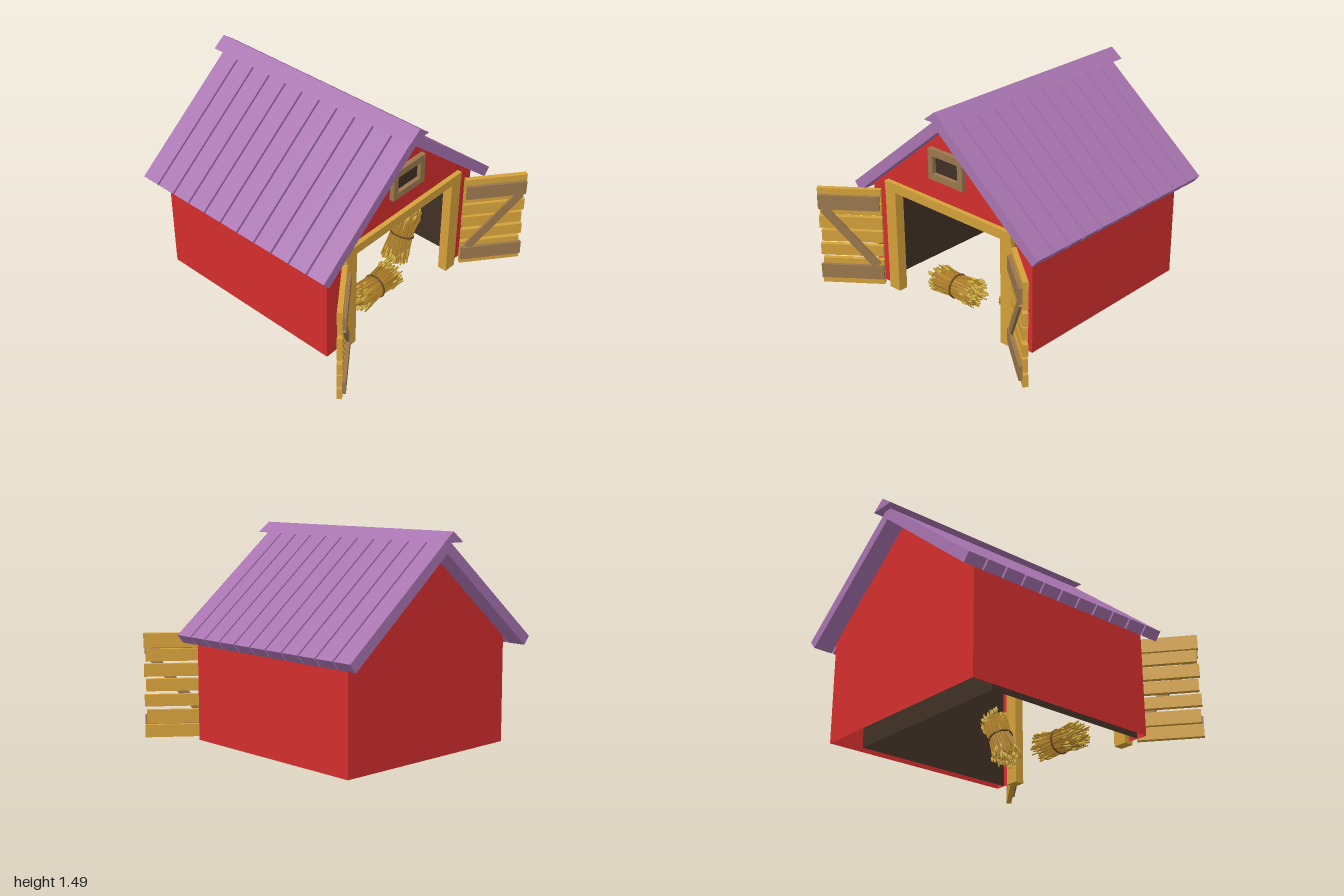
import * as THREE from 'three';
import { mergeGeometries } from 'three/addons/utils/BufferGeometryUtils.js';

const mat = (name, color, side = THREE.FrontSide) => {
  const m = new THREE.MeshStandardMaterial({ color, side });
  m.name = name;
  return m;
};

export function createModel() {
  const red = mat('barn red', 0xd42e2e, THREE.DoubleSide);
  const dark = mat('dark interior', 0x3f3025, THREE.DoubleSide);
  const purple = mat('purple roof', 0xa874b0);
  const gold = mat('golden wood', 0xd4a03a);
  const brown = mat('brown wood', 0x9a774c);
  const straw = mat('straw', 0xb5842a);
  const grain = mat('grain', 0xcfae3e);
  const twine = mat('twine', 0x6b4a26);

  const barn = new THREE.Group();
  barn.name = 'barn';

  const add = (parent, name, geometry, material) => {
    const mesh = new THREE.Mesh(geometry, material);
    mesh.name = name;
    parent.add(mesh);
    return mesh;
  };
  // Box given by its extents on each axis
  const box = (parent, name, material, x0, x1, y0, y1, z0, z1) => {
    const mesh = add(parent, name, new THREE.BoxGeometry(x1 - x0, y1 - y0, z1 - z0), material);
    mesh.position.set((x0 + x1) / 2, (y0 + y1) / 2, (z0 + z1) / 2);
    return mesh;
  };
  const shapeOf = (pts) => new THREE.Shape(pts.map(([x, y]) => new THREE.Vector2(x, y)));
  // Open sheet swept along z below a polyline
  const sheet = (pts, z0, z1) => {
    const parts = [];
    for (let i = 0; i + 1 < pts.length; i++) {
      const [[ax, ay], [bx, by]] = [pts[i], pts[i + 1]];
      const g = new THREE.PlaneGeometry(z1 - z0, Math.hypot(bx - ax, by - ay));
      const u = new THREE.Vector3(bx - ax, by - ay, 0).normalize();
      const w = new THREE.Vector3(0, 0, 1);
      g.applyMatrix4(new THREE.Matrix4().makeBasis(w, u, w.clone().cross(u)));
      g.translate((ax + bx) / 2, (ay + by) / 2, (z0 + z1) / 2);
      parts.push(g);
    }
    return mergeGeometries(parts);
  };

  // Walls: open-bottomed shell with a doorway in the front gable
  const W = 0.735, B = 0.025, E = 0.78, A = 1.385, ZF = 0.65, ZB = -0.82;
  const D = 0.5, H = 0.78;
  add(barn, 'frontWall', new THREE.ShapeGeometry(shapeOf([
    [-W, B], [-D, B], [-D, H], [D, H], [D, B], [W, B], [W, E], [0, A], [-W, E],
  ])), red).position.z = ZF;
  const back = add(barn, 'backWall', new THREE.ShapeGeometry(shapeOf([
    [-W, B], [W, B], [W, E], [0, A], [-W, E],
  ])), red);
  back.position.z = ZB;
  back.rotation.y = Math.PI;
  add(barn, 'sideWallsAndRoofDeck', sheet([[W, B], [W, E], [0, A], [-W, E], [-W, B]], ZB, ZF), red);

  // Interior lining and ceiling
  const IW = 0.66, IB = -0.61;
  add(barn, 'interiorSides', sheet([[-IW, B], [-IW, H]], IB, ZF - 0.005), dark);
  add(barn, 'interiorSides', sheet([[IW, H], [IW, B]], IB, ZF - 0.005), dark);
  const liner = add(barn, 'interiorBack', new THREE.PlaneGeometry(IW * 2, H - B), dark);
  liner.position.set(0, (H + B) / 2, IB);
  const ceiling = add(barn, 'ceiling', new THREE.PlaneGeometry(IW * 2, ZF - IB), red);
  ceiling.rotation.x = Math.PI / 2;
  ceiling.position.set(0, H, (ZF + IB) / 2);

  // Roof planks on both slopes
  const eave = [[0, 1.452], [0, 1.36], [0.8, 0.703], [0.847, 0.76]];
  for (const s of [1, -1]) {
    const slope = new THREE.Group();
    slope.name = s > 0 ? 'leftRoof' : 'rightRoof';
    barn.add(slope);
    const profile = shapeOf(eave.map(([x, y]) => [x * s, y]));
    for (let i = 0; i < 11; i++) {
      const g = new THREE.ExtrudeGeometry(profile, { depth: 0.14, bevelEnabled: false });
      add(slope, 'roofPlank', g, purple).position.z = -0.953 + i * 0.154;
    }
  }
  add(barn, 'ridgeCap', new THREE.ExtrudeGeometry(
    shapeOf([[-0.092, 1.43], [0.092, 1.43], [0, 1.5]]), { depth: 1.755, bevelEnabled: false },
  ), purple).position.z = -1;

  // Door frame
  for (const s of [1, -1]) {
    box(barn, 'doorPost', gold, s * 0.536 - 0.049, s * 0.536 + 0.049, 0.01, 0.8, 0.61, 0.68);
  }
  box(barn, 'doorLintel', gold, -0.583, 0.583, 0.77, 0.835, 0.63, 0.685);

  // Gable window
  const win = new THREE.Group();
  win.name = 'window';
  barn.add(win);
  box(win, 'windowFrame', brown, -0.145, 0.165, 1.152, 1.2, 0.645, 0.685);
  box(win, 'windowFrame', brown, -0.145, 0.165, 0.985, 1.03, 0.645, 0.685);
  box(win, 'windowFrame', brown, -0.145, -0.103, 1.03, 1.152, 0.645, 0.685);
  box(win, 'windowFrame', brown, 0.12, 0.165, 1.03, 1.152, 0.645, 0.685);
  box(win, 'windowPane', dark, -0.11, 0.125, 1.025, 1.157, 0.65, 0.656);

  // Open doors: slats with two rails and a diagonal brace
  const slats = [[0.03, 0.117], [0.128, 0.222], [0.248, 0.33], [0.355, 0.44],
    [0.458, 0.546], [0.565, 0.65], [0.66, 0.76]];
  for (const s of [1, -1]) {
    const door = new THREE.Group();
    door.name = s > 0 ? 'leftDoor' : 'rightDoor';
    door.position.set(s * 0.627, 0, 0.68);
    door.rotation.y = -s * 0.66;
    barn.add(door);
    const part = (name, m, a, b, y0, y1, z0, z1) =>
      box(door, name, m, Math.min(s * a, s * b), Math.max(s * a, s * b), y0, y1, z0, z1);
    slats.forEach(([y0, y1], i) => part('doorSlat', gold, 0, 0.44 - (i % 2) * 0.012, y0, y1, 0, 0.036));
    part('doorRail', brown, 0.01, 0.435, 0.61, 0.715, 0.036, 0.06);
    part('doorRail', brown, 0, 0.44, 0.08, 0.183, 0.036, 0.06);
    const brace = part('doorBrace', brown, 0.19, 0.25, 0.12, 0.67, 0.036, 0.054);
    brace.rotation.z = -s * 0.7;
  }

  // Straw bundles: stalks pinched at the tie, with grain heads at the ends
  let seed = 7;
  const rnd = () => (seed = (seed * 16807) % 2147483647) / 2147483647;
  const up = new THREE.Vector3(0, 1, 0);
  const bundle = (x, y, z, tilt) => {
    const group = new THREE.Group();
    group.name = 'strawBundle';
    group.position.set(x, y, z);
    group.rotation.z = tilt;
    barn.add(group);
    const stalks = [], heads = [];
    for (let i = 0; i < 110; i++) {
      const a = i * 2.39996, r = Math.sqrt((i + 0.5) / 110);
      for (const e of [1, -1]) {
        const waist = 0.078 * r, flare = (0.088 + 0.018 * rnd()) * r;
        const p = new THREE.Vector3(Math.cos(a) * waist, -e * 0.01, Math.sin(a) * waist);
        const b = a + (rnd() - 0.5) * 0.5;
        const q = new THREE.Vector3(Math.cos(b) * flare, e * (0.15 + 0.055 * rnd()), Math.sin(b) * flare);
        const dir = q.clone().sub(p);
        const turn = new THREE.Quaternion().setFromUnitVectors(up, dir.clone().normalize());
        const g = new THREE.CylinderGeometry(0.005, 0.007, dir.length(), 4);
        g.applyQuaternion(turn);
        const mid = p.clone().lerp(q, 0.5);
        stalks.push(g.translate(mid.x, mid.y, mid.z));
        if (rnd() < 0.5) {
          const h = new THREE.SphereGeometry(1, 6, 4).scale(0.01, 0.024, 0.01);
          h.applyQuaternion(turn);
          const c = p.clone().lerp(q, r > 0.75 ? 0.65 + 0.35 * rnd() : 1);
          c.x *= 1.06;
          c.z *= 1.06;
          heads.push(h.translate(c.x, c.y, c.z));
        }
      }
    }
    add(group, 'stalks', mergeGeometries(stalks), straw);
    add(group, 'grainHeads', mergeGeometries(heads), grain);
    add(group, 'bundleCore', new THREE.LatheGeometry([[0, -0.16], [0.08, -0.16], [0.072, 0], [0.08, 0.16], [0, 0.16]]
      .map(([r, h]) => new THREE.Vector2(r, h)), 12), straw);
    const tie = add(group, 'tie', new THREE.TorusGeometry(0.084, 0.007, 6, 20), twine);
    tie.rotation.x = Math.PI / 2;
  };
  bundle(-0.085, 0.13, 0.5, -Math.PI / 2);
  bundle(0.37, 0.25, 0.36, -0.42);

  return barn;
}
